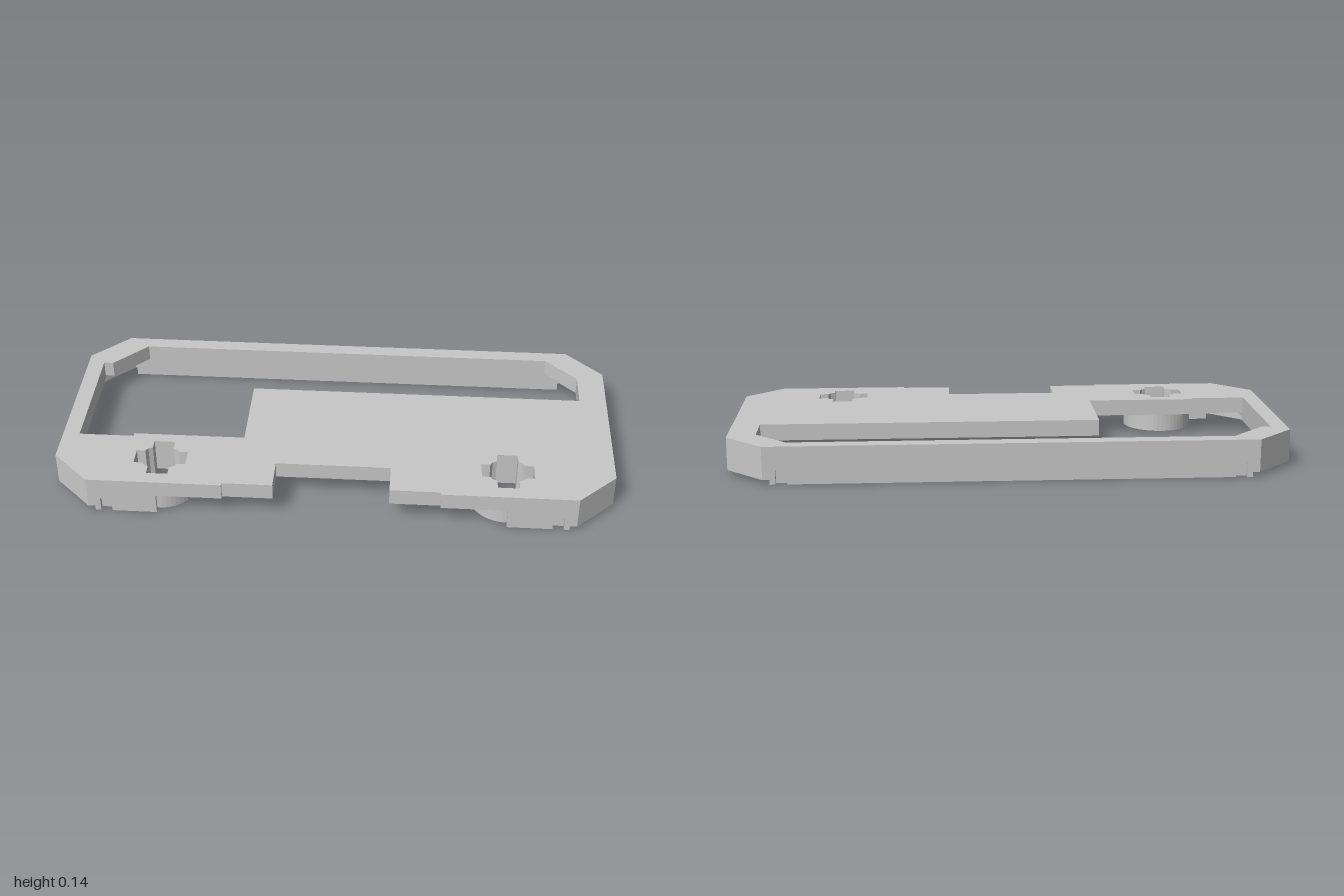
import * as THREE from 'three';

const grey = new THREE.MeshStandardMaterial({ color: 0xc8c8c8 });
grey.name = 'plainGrey';

const toPoints = (list) => list.map(([x, z]) => new THREE.Vector2(x, z));
const mirrorX = (list) => list.map(([x, z]) => [-x, z]).reverse();

// Extrude an outline drawn in x/z between two heights; outlines run
// counter-clockwise and holes clockwise so every wall faces outwards
function slab(name, outline, holes, bottom, top) {
  const wound = (list, clockwise) => {
    const points = toPoints(list);
    return THREE.ShapeUtils.isClockWise(points) === clockwise ? points : points.reverse();
  };
  const shape = new THREE.Shape(wound(outline, false));
  shape.holes = holes.map((h) => new THREE.Path(wound(h, true)));
  const geometry = new THREE.ExtrudeGeometry(shape, { depth: top - bottom, bevelEnabled: false });
  geometry.rotateX(Math.PI / 2).translate(0, top, 0);
  const mesh = new THREE.Mesh(geometry, grey);
  mesh.name = name;
  return mesh;
}

function block(name, xa, xb, y0, y1, z0, z1) {
  const geometry = new THREE.BoxGeometry(Math.abs(xb - xa), y1 - y0, z1 - z0);
  geometry.translate((xa + xb) / 2, (y0 + y1) / 2, (z0 + z1) / 2);
  const mesh = new THREE.Mesh(geometry, grey);
  mesh.name = name;
  return mesh;
}

function circleOutline(cx, cz, r, sides) {
  return Array.from({ length: sides }, (_, i) => {
    const a = (i / sides) * Math.PI * 2;
    return [cx + r * Math.cos(a), cz + r * Math.sin(a)];
  });
}

// Cross-shaped socket with softened inner corners
function crossOutline(cx, cz) {
  const quarter = [[0.093, 0.035], [0.062, 0.035], [0.053, 0.048], [0.038, 0.055], [0.038, 0.093]];
  const points = [];
  for (const [sx, sz] of [[1, 1], [-1, 1], [-1, -1], [1, -1]]) {
    const part = quarter.map(([x, z]) => [cx + sx * x, cz + sz * z]);
    points.push(...(sx * sz > 0 ? part : part.reverse()));
  }
  return points;
}

// Outer edge of the +x half, from front to back
const rim = [[0.865, 0.452], [1, 0.32], [1, -0.32], [0.865, -0.455]];

// Half of the skirt wall, from the front end round to the middle of the back
function skirtOutline(t, notched) {
  const c = 0.41 * t;
  const notch = (z, inner) => [[0.78, z], [0.78, inner], [0.82, inner], [0.82, z]];
  return [
    [0.62, 0.452], ...(notched ? notch(0.452, 0.432) : []),
    ...rim,
    ...(notched ? notch(-0.455, -0.435).reverse() : []), [0, -0.455],
    [0, -0.455 + t], [0.865 - c, -0.455 + t], [1 - t, -0.32 + c],
    [1 - t, 0.32 - c], [0.865 - c, 0.452 - t], [0.62, 0.452 - t],
  ];
}

export function createModel() {
  const group = new THREE.Group();
  group.name = 'facePlate';
  const bossX = 0.62, bossZ = 0.307;

  // Top plate with window opening, front notch and two sockets
  const half = [[0.205, 0.315], [0.205, 0.44], [0.385, 0.44], [0.385, 0.452], ...rim];
  const opening = [
    [-0.94, 0.188], [-0.74, 0.188], [-0.74, 0.172], [-0.335, 0.172], [-0.335, -0.14],
    [0.9, -0.14], [0.9, -0.285], [0.785, -0.4], [-0.785, -0.4],
    [-0.905, -0.275], [-0.94, -0.275],
  ];
  group.add(slab('topPlate', [...half, ...mirrorX(half)],
    [opening, crossOutline(bossX, bossZ), crossOutline(-bossX, bossZ)], 0.075, 0.135));

  // Back wall: outer lip between the notches, inner lip running behind them
  group.add(block('backLip', -0.78, 0.78, 0, 0.052, -0.455, -0.43));
  group.add(block('backInnerWall', -0.84, 0.84, 0, 0.052, -0.435, -0.4));

  for (const side of [1, -1]) {
    const place = (outline) => (side > 0 ? outline : mirrorX(outline));
    // Stepped skirt around the rim
    group.add(slab('upperSkirt', place(skirtOutline(0.055, false)), [], 0.052, 0.075));
    group.add(slab('lowerSkirt', place(skirtOutline(0.035, true)), [], 0.017, 0.052));

    // Front foot and the small tabs beyond each notch
    group.add(block('frontFoot', side * 0.62, side * 0.78, 0, 0.052, 0.43, 0.452));
    group.add(block('frontInnerFoot', side * 0.62, side * 0.84, 0, 0.052, 0.397, 0.432));
    group.add(block('frontTab', side * 0.82, side * 0.84, 0, 0.017, 0.432, 0.452));
    group.add(block('backTab', side * 0.82, side * 0.84, 0, 0.017, -0.455, -0.435));

    // Round boss under each socket
    group.add(slab('socketBoss', circleOutline(side * bossX, bossZ, 0.13, 48),
      [crossOutline(side * bossX, bossZ)], 0.008, 0.075));
  }
  return group;
}
